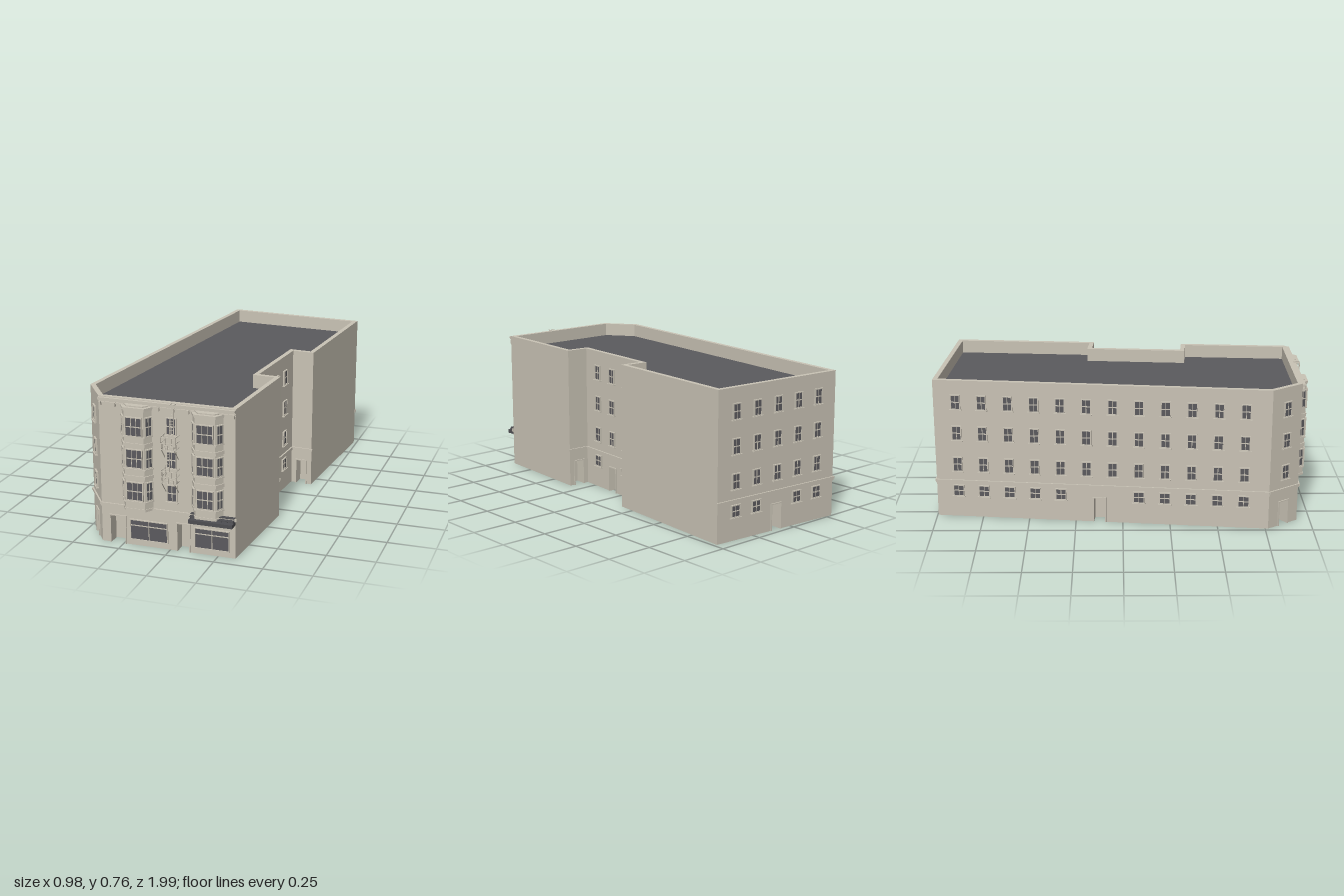
import * as THREE from 'three';

const paint = (name, color, side = THREE.FrontSide) => {
  const m = new THREE.MeshStandardMaterial({ color, side });
  m.name = name;
  return m;
};

export function createModel() {
  const stone = paint('stone', 0xc9c3b5, THREE.DoubleSide);
  const dark = paint('darkGrey', 0x5b5a5e, THREE.DoubleSide);
  const awningMat = paint('awningGrey', 0x4e4e52);
  const model = new THREE.Group();
  model.name = 'cornerBuilding';

  const H = 0.765, ROOF = 0.695, DEPTH = 0.06;
  // Footprint corners as x, z, running left to right as seen from outside
  const plan = [[-0.365, 0.93], [0.34, 0.93], [0.383, 0.335], [0.265, 0.325], [0.305, -0.17],
    [0.422, -0.16], [0.482, -0.94], [-0.29, -0.995], [-0.482, 0.765]].map(p => new THREE.Vector2(...p));

  const add = (parent, name, geo, mat) => {
    const m = new THREE.Mesh(geo, mat);
    m.name = name;
    parent.add(m);
    return m;
  };
  const group = (parent, name) => {
    const g = new THREE.Group();
    g.name = name;
    parent.add(g);
    return g;
  };
  const box = (parent, name, mat, w, h, d, x, y, z) => {
    const m = add(parent, name, new THREE.BoxGeometry(w, h, d), mat);
    m.position.set(x, y, z);
    return m;
  };
  // Group whose local x runs from a to b and whose z points outwards
  const along = (parent, name, a, b) => {
    const g = group(parent, name);
    g.position.set(a.x, 0, a.y);
    g.rotation.y = Math.atan2(a.y - b.y, b.x - a.x);
    return g;
  };
  const flat = pts => pts.map(p => new THREE.Vector2(p.x, -p.y));
  // Upright prism over points given as x, z
  const prism = (pts, y, h, hole) => {
    const s = new THREE.Shape(flat(pts));
    if (hole) s.holes.push(new THREE.Path(flat(hole)));
    const g = new THREE.ExtrudeGeometry(s, { depth: h, bevelEnabled: false });
    return g.rotateX(-Math.PI / 2).translate(0, y, 0);
  };

  // Glazed window with frame, bars and sill; y is its centre
  const addWindow = (parent, x, y, w, h, cols = 2, transom = 0.5, sill = true) => {
    const g = group(parent, 'window');
    g.position.set(x, y, 0);
    box(g, 'glass', dark, w, h, 0.006, 0, 0, 0.001);
    for (const s of [-1, 1]) {
      box(g, 'jamb', stone, 0.005, h + 0.01, 0.009, s * (w / 2 + 0.0025), 0, 0.004);
      box(g, 'frameRail', stone, w, 0.005, 0.009, 0, s * (h / 2 + 0.0025), 0.004);
    }
    box(g, 'meetingRail', stone, w, 0.005, 0.004, 0, h * (transom - 0.5), 0.004);
    for (let i = 1; i < cols; i++)
      box(g, 'glazingBar', stone, 0.003, h, 0.003, w * (i / cols - 0.5), 0, 0.004);
    if (sill) box(g, 'sill', stone, w + 0.02, 0.006, 0.014, 0, -h / 2 - 0.007, 0.007);
  };

  // Open-fronted recess behind a doorway
  const addDoor = (parent, [x, w, h]) => {
    const geo = new THREE.BoxGeometry(w, h, DEPTH);
    const idx = [...geo.index.array];
    geo.clearGroups();
    geo.setIndex([...idx.slice(0, 18), ...idx.slice(30)]);
    add(parent, 'doorRecess', geo, stone).position.set(x, h / 2, -DEPTH / 2);
    for (const s of [-1, 1])
      box(parent, 'doorJamb', stone, 0.006, h, 0.006, x + s * (w / 2 + 0.003), h / 2, 0.003);
    box(parent, 'doorHead', stone, w + 0.012, 0.006, 0.006, x, h + 0.003, 0.003);
  };

  // Wall with doorways cut from its bottom edge
  const addWall = (i, name, { doors = [], belt = true } = {}) => {
    const a = plan[i], b = plan[(i + 1) % plan.length], len = a.distanceTo(b);
    const g = along(model, name, a, b);
    const s = new THREE.Shape();
    s.moveTo(0, 0);
    const cuts = doors.map(([t, w, h]) => [t * len, w, h]);
    for (const [x, w, h] of cuts) {
      s.lineTo(x - w / 2, 0);
      s.lineTo(x - w / 2, h);
      s.lineTo(x + w / 2, h);
      s.lineTo(x + w / 2, 0);
    }
    s.lineTo(len, 0);
    s.lineTo(len, ROOF);
    s.lineTo(0, ROOF);
    add(g, 'wallFace', new THREE.ShapeGeometry(s), stone);
    cuts.forEach(c => addDoor(g, c));
    if (belt) {
      box(g, 'beltCourse', stone, len + 0.012, 0.012, 0.008, len / 2, 0.204, 0.004);
      box(g, 'beltMoulding', stone, len + 0.006, 0.007, 0.005, len / 2, 0.194, 0.0025);
    }
    return { g, len };
  };
  const floors = [0.3, 0.475, 0.647];
  const addWindows = ({ g, len }, upper, ground = []) => {
    for (const t of upper) for (const y of floors) addWindow(g, t * len, y, 0.042, 0.072);
    for (const t of ground) addWindow(g, t * len, 0.15, 0.05, 0.055);
  };

  const L = plan[0].distanceTo(plan[1]);
  const tx = x => (x + 0.365) / L;
  const front = addWall(0, 'frontWall', { doors: [[tx(-0.278), 0.077, 0.145], [tx(0.07), 0.062, 0.145]] });
  addWall(1, 'rightFrontWall', { belt: false });
  addWall(2, 'courtFrontWall', { doors: [[0.5, 0.055, 0.135]] });
  addWindows(addWall(3, 'courtWall', { doors: [[0.495, 0.06, 0.135]] }), [0.23, 0.495, 0.747], [0.23, 0.747]);
  addWall(4, 'courtBackWall', { doors: [[0.5, 0.055, 0.135]] });
  addWall(5, 'rightBackWall', { belt: false });
  const backCols = [0.147, 0.32, 0.495, 0.67, 0.845];
  addWindows(addWall(6, 'backWall', { doors: [[0.495, 0.06, 0.135]] }), backCols, backCols.filter((_, i) => i !== 2));
  const sideCols = Array.from({ length: 12 }, (_, i) => 0.067 + i * 0.078);
  addWindows(addWall(7, 'leftWall', { doors: [[0.495, 0.06, 0.135]] }), sideCols,
    sideCols.filter((_, i) => i < 5 || i > 6));
  addWindows(addWall(8, 'cornerWall', { doors: [[0.5, 0.06, 0.133]] }), [0.51]);

  // Roof deck and parapet, with the inner edge offset by mitred corners
  const inner = plan.map((p, i) => {
    const d1 = p.clone().sub(plan[(i + 8) % 9]).normalize();
    const d2 = plan[(i + 1) % 9].clone().sub(p).normalize();
    const n1 = new THREE.Vector2(d1.y, -d1.x), n2 = new THREE.Vector2(d2.y, -d2.x);
    return p.clone().addScaledVector(n1.clone().add(n2), 0.025 / (1 + n1.dot(n2)));
  });
  add(model, 'parapet', prism(plan, ROOF, H - ROOF, inner), stone);
  const deck = add(model, 'roofDeck', new THREE.ShapeGeometry(new THREE.Shape(flat(plan))), dark);
  deck.rotation.x = -Math.PI / 2;
  deck.position.y = ROOF;

  // Details on the front are placed by model x, with z measured from the wall
  const face = group(model, 'frontDetails');
  face.position.z = 0.93;

  // Cornice and brackets
  const mid = -0.0125;
  box(face, 'cornice', stone, L, 0.009, 0.015, mid, 0.757, 0.0075);
  box(face, 'corniceStep', stone, L, 0.007, 0.01, mid, 0.749, 0.005);
  box(face, 'corniceLower', stone, L, 0.005, 0.006, mid, 0.736, 0.003);
  for (let i = 0; i < 10; i++)
    box(face, 'corniceBracket', stone, 0.008, 0.02, 0.013, -0.354 + i * 0.0762, 0.729, 0.0065);

  // Shop windows
  for (const [x, w] of [[-0.112, 0.192], [0.22, 0.174]])
    addWindow(face, x, 0.085, w, 0.1, 2, 0.73, false);

  // Three-sided bays
  const trapezoid = grow => [[-0.078, 0], [-0.051, 0.042], [0.051, 0.042], [0.078, 0]]
    .map(([x, z]) => new THREE.Vector2(x + Math.sign(x) * grow, z ? z + grow : 0));
  for (const x of [-0.165, 0.2]) {
    const bay = group(face, 'bay');
    bay.position.x = x;
    const pts = trapezoid(0);
    add(bay, 'bayBody', prism(pts, 0.2, 0.525), stone);
    [[0.194, 0.008, -0.012], [0.202, 0.012, 0.003], [0.725, 0.01, 0.006], [0.718, 0.007, 0.003], [0.735, 0.006, -0.01]]
      .forEach(([y, h, grow]) => add(bay, 'bayMoulding', prism(trapezoid(grow), y, h), stone));
    for (const y of [0.25, 0.42, 0.588]) {
      add(bay, 'baySill', prism(trapezoid(0.006), y - 0.004, 0.007), stone);
      if (y > 0.3) add(bay, 'bayCollar', prism(trapezoid(0.005), y - 0.05, 0.017), stone);
    }
    for (let i = 0; i < 3; i++) {
      const side = along(bay, 'bayFace', pts[i], pts[i + 1]);
      const len = pts[i].distanceTo(pts[i + 1]);
      for (const y of [0.306, 0.476, 0.639])
        addWindow(side, len / 2, y, i === 1 ? 0.08 : 0.034, 0.09, i === 1 ? 3 : 2, 0.5, false);
    }
  }

  // Narrow windows behind the fire escape
  for (const y of [0.302, 0.475, 0.647]) addWindow(face, 0.014, y, 0.044, 0.08);

  // Awning over the right shop, with slats above
  const awning = group(face, 'awning');
  box(awning, 'awningSlab', awningMat, 0.225, 0.019, 0.055, 0.2275, 0.187, 0.0275);
  [0.207, 0.217].forEach((y, i) =>
    box(awning, 'awningSlat', awningMat, 0.225, 0.004, 0.02, 0.2275, y, 0.028 - i * 0.014));
  for (let i = 0; i < 8; i++)
    box(awning, 'awningRib', awningMat, 0.004, 0.014, 0.006, 0.118 + i * 0.0314, 0.203, 0.03);

  // Fire escape: two railed landings and two ladders
  const escape = group(face, 'fireEscape');
  const rod = (name, w, h, d, x, y, z) => box(escape, name, stone, w, h, d, x, y, z);
  const T = 0.003, x0 = -0.022, x1 = 0.053, xm = (x0 + x1) / 2, W = x1 - x0, D = 0.06;
  for (const y of [0.372, 0.545]) {
    for (const r of [0, 0.032, 0.062]) {
      rod('frontRail', W, T, T, xm, y + r, D - T / 2);
      for (const x of [x0, x1]) rod('sideRail', T, T, D, x, y + r, D / 2);
    }
    for (let i = 0; i <= 8; i++)
      rod('baluster', 0.002, 0.062, 0.002, x0 + W * i / 8, y + 0.031, D - T / 2);
    for (let i = 1; i < 5; i++) for (const x of [x0, x1])
      rod('sideBaluster', 0.002, 0.062, 0.002, x, y + 0.031, D * i / 5);
    for (const z of [0.004, 0.022, 0.04]) rod('landingSlat', W, T, T, xm, y, z);
    for (const x of [x0 + 0.004, x1 - 0.004]) {
      const brace = rod('brace', T, 0.083, T, x, y - 0.031, D / 2);
      brace.rotation.x = Math.atan2(D - 0.006, 0.062);
    }
  }
  const ladder = (x, bottom, top, z) => {
    for (const s of [-1, 1]) rod('ladderRail', T, top - bottom, T, x + s * 0.0105, (top + bottom) / 2, z);
    for (let y = bottom + 0.012; y < top; y += 0.016) rod('rung', 0.021, 0.002, 0.002, x, y, z);
  };
  ladder(0.028, 0.545, H, 0.034);
  ladder(0.002, 0.372, 0.545, 0.03);
  for (const s of [-1, 1]) rod('ladderHook', T, T, 0.05, 0.028 + s * 0.0105, H - T / 2, 0.011);

  return model;
}
